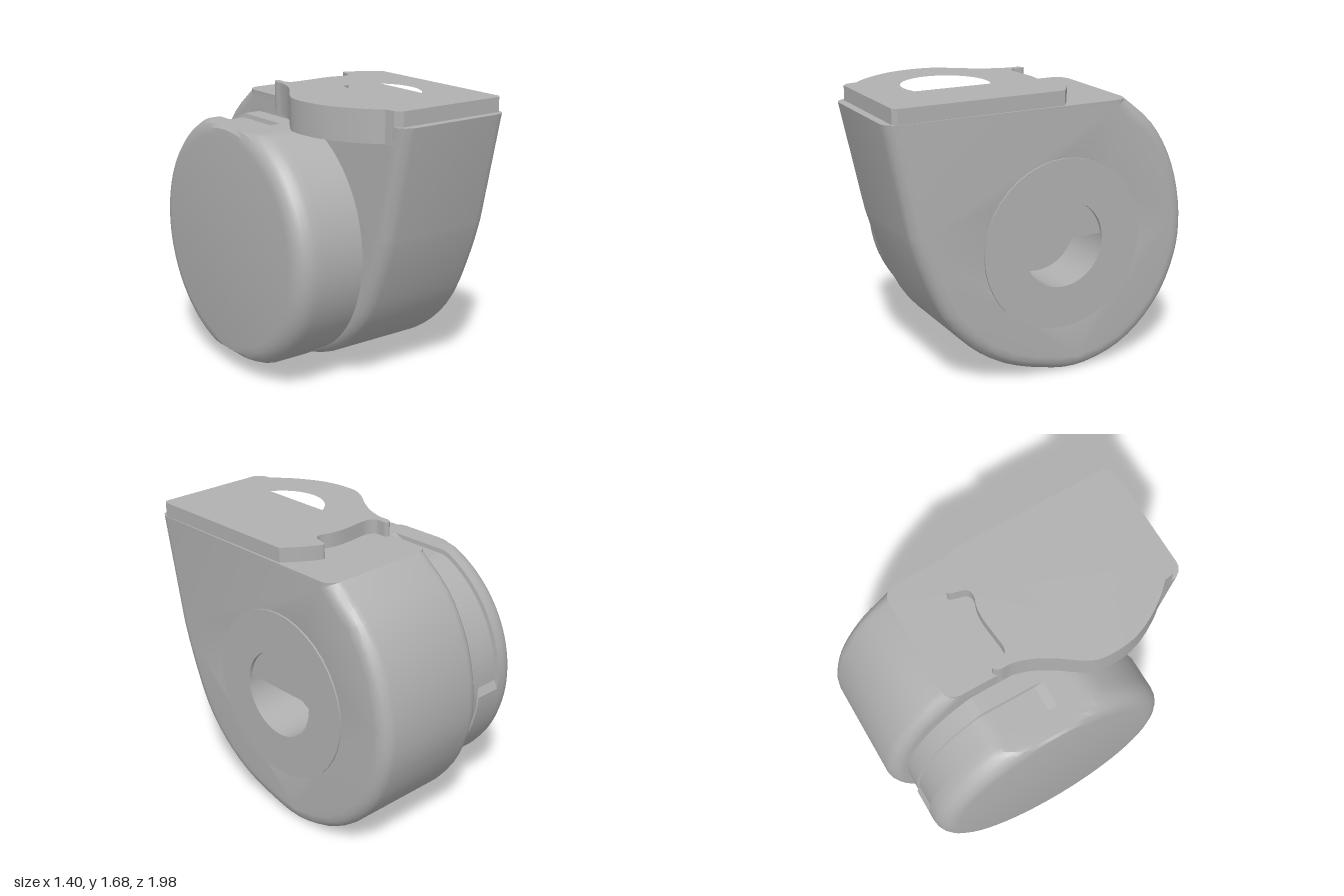
import * as THREE from 'three';
import { toCreasedNormals } from 'three/addons/utils/BufferGeometryUtils.js';

const AXIS_Y = 0.8, AXIS_Z = -0.15; // shared axis of fan and motor (runs along x)
const V = (p) => new THREE.Vector2(p[0], p[1]);

export function createModel() {
  const grey = new THREE.MeshStandardMaterial({ color: 0xb0b0b0 });
  grey.name = 'grey';
  const model = new THREE.Group();
  const blower = new THREE.Group();
  blower.name = 'blower';
  blower.rotation.y = -THREE.MathUtils.degToRad(10);
  model.add(blower);

  const add = (parent, name, geometry, crease = 0.4) => {
    const mesh = new THREE.Mesh(toCreasedNormals(geometry, crease), grey);
    mesh.name = name;
    parent.add(mesh);
    return mesh;
  };

  // Snail housing: side profile (z, y), rounded on both flanks, cut flat on top
  const bevel = 0.08, left = -0.2, right = 0.545, top = 1.6;
  const volute = new THREE.SplineCurve([
    [0.78, 0.95], [0.71, 0.74], [0.58, 0.45], [0.41, 0.25], [0.2, 0.11], [-0.05, 0.03],
    [-0.27, 0], [-0.5, 0.05], [-0.7, 0.17], [-0.87, 0.37], [-0.965, 0.6], [-0.99, 0.8],
    [-0.965, 1.02], [-0.89, 1.24], [-0.76, 1.44], [-0.57, 1.6],
  ].map(V)).getPoints(45);
  const outline = [V([0.92, 1.75]), V([0.92, 1.6]), ...volute, V([-0.57, 1.75])];
  const side = new THREE.Shape(outline.map((p) => V([-p.x, p.y])));
  side.holes.push(new THREE.Path().absarc(-AXIS_Z, AXIS_Y, 0.38, 0, Math.PI * 2, true));
  const housing = new THREE.ExtrudeGeometry(side, {
    depth: right - left - 2 * bevel, bevelThickness: bevel, bevelSize: bevel,
    bevelOffset: -bevel, bevelSegments: 4, curveSegments: 20,
  });
  housing.rotateY(Math.PI / 2).translate(left + bevel, 0, 0);
  const hp = housing.attributes.position;
  for (let i = 0; i < hp.count; i++) hp.setY(i, Math.min(hp.getY(i), top));
  add(blower, 'housing', housing);

  // Raised bearing ring with a deep central bore
  const ring = new THREE.LatheGeometry(
    [[0.505, 0.48], [0.505, 0.555], [0.255, 0.555], [0.255, 0.25], [0, 0.25]].map(V), 40);
  ring.rotateZ(-Math.PI / 2).translate(0, AXIS_Y, AXIS_Z);
  add(blower, 'bearingRing', ring);

  // Half plug filling the upper part of the bore
  const half = new THREE.Shape().absarc(0, 0, 0.254, 0.1, Math.PI - 0.1, false);
  const plug = new THREE.ExtrudeGeometry(half, { depth: 0.28, bevelEnabled: false, curveSegments: 20 });
  plug.rotateY(Math.PI / 2).translate(0.255, AXIS_Y, AXIS_Z);
  add(blower, 'borePlug', plug);

  // Motor drum: rounded end, flats above and below, shallow slot over the back
  const stations = [[-0.63, 0], [-0.63, 0.63]];
  for (let i = 1; i <= 5; i++) {
    const t = (i / 5) * Math.PI / 2;
    stations.push([-0.52 - 0.11 * Math.cos(t), 0.635 + 0.11 * Math.sin(t)]);
  }
  stations.push([-0.477, 0.745], [-0.474, 0.745, 1], [-0.315, 0.745, 1], [-0.31, 0.735], [-0.12, 0.735], [-0.12, 0]);
  const N = 96, pos = [], index = [];
  stations.forEach(([x, r, slot], i) => {
    for (let j = 0; j <= N; j++) {
      const a = (j / N) * Math.PI * 2;
      const depth = slot && a > 1.5 && a < 3.2 ? 0.025 : 0;
      const rr = Math.max(r - depth, 0), flat = 0.68 - depth;
      pos.push(x, AXIS_Y + THREE.MathUtils.clamp(rr * Math.sin(a), -flat, flat), AXIS_Z + rr * Math.cos(a));
      if (i && j) {
        const d = i * (N + 1) + j, c = d - 1, b = d - N - 1, e = b - 1;
        index.push(e, c, d, e, d, b);
      }
    }
  });
  const drum = new THREE.BufferGeometry();
  drum.setAttribute('position', new THREE.Float32BufferAttribute(pos, 3));
  drum.setIndex(index);
  add(blower, 'motorDrum', drum);

  // Mounting plate with a round socket, overhanging the housing (x, z)
  const lobe = new THREE.SplineCurve([
    [-0.34, 0.73], [-0.41, 0.62], [-0.47, 0.46], [-0.485, 0.32], [-0.46, 0.17], [-0.4, 0.08],
    [-0.3, -0.02], [-0.22, -0.12], [-0.17, -0.22], [-0.16, -0.28], [-0.13, -0.31], [-0.11, -0.29],
    [-0.12, -0.23], [-0.08, -0.19], [0, -0.18], [0.12, -0.17], [0.2, -0.15], [0.26, -0.12],
    [0.31, -0.13], [0.34, -0.19], [0.37, -0.22], [0.46, -0.15], [0.55, -0.06],
  ].map(V)).getPoints(66);
  const edge = [V([0.385, 0.93]), V([0.36, 0.95]), V([-0.31, 0.83]), V([-0.34, 0.79]), ...lobe];
  const plan = new THREE.Shape(edge.map((p) => V([p.x, -p.y])));
  plan.holes.push(new THREE.Path().absarc(0.01, -0.36, 0.255, 0, Math.PI * 2, true));
  const plate = new THREE.ExtrudeGeometry(plan, { depth: 0.185, bevelEnabled: false, curveSegments: 16 });
  plate.rotateX(-Math.PI / 2).translate(0, 1.5, 0);
  add(model, 'mountingPlate', plate);

  return model;
}
